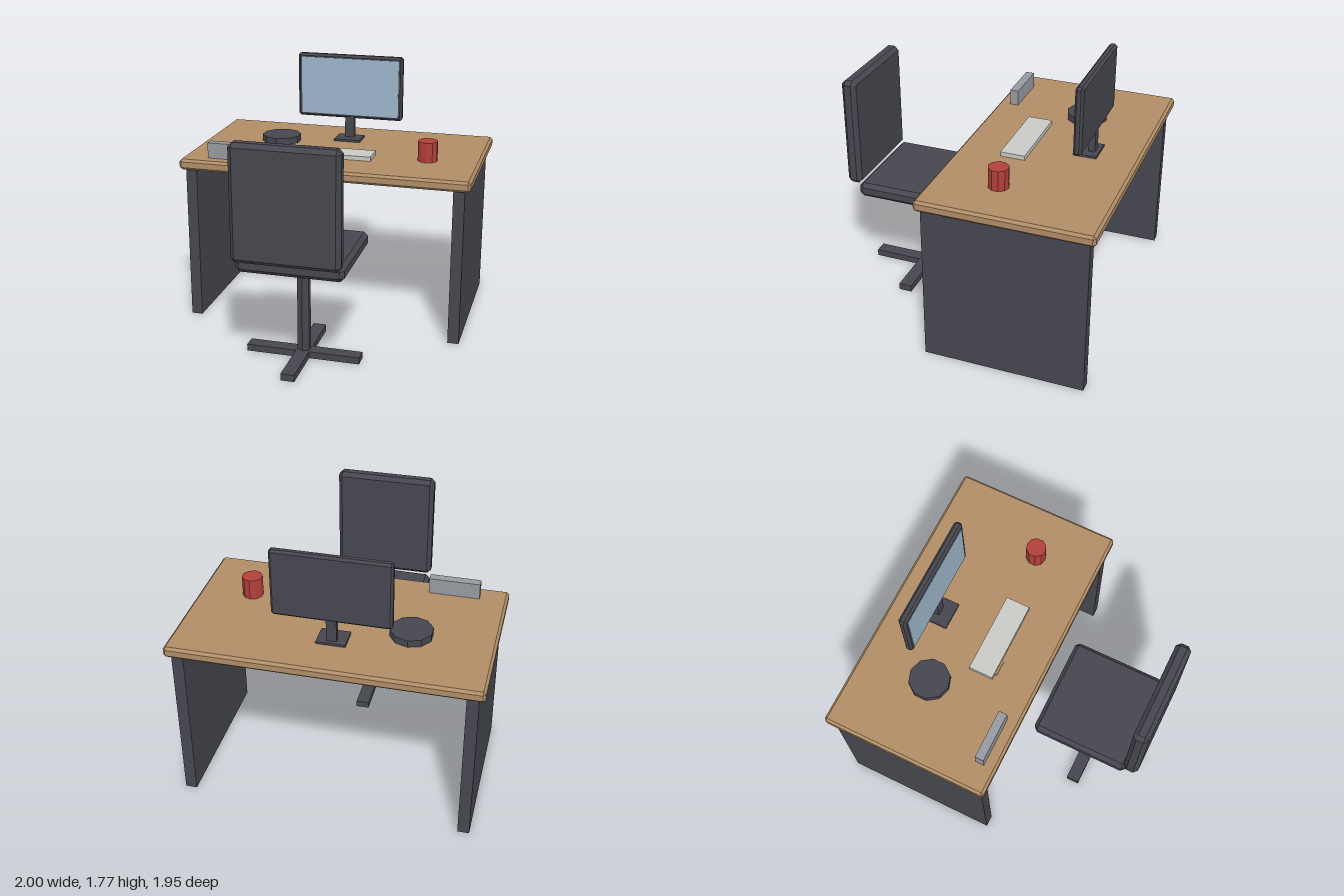
import * as THREE from 'three';
import { ConvexGeometry } from 'three/addons/geometries/ConvexGeometry.js';

function material(name, color) {
  const m = new THREE.MeshStandardMaterial({ color, flatShading: true });
  m.name = name;
  return m;
}

// Box spanning min..max with all twelve edges chamfered by c
function chamferBox(min, max, c) {
  const h = max.map((v, i) => (v - min[i]) / 2);
  const points = [];
  for (const sx of [-1, 1]) for (const sy of [-1, 1]) for (const sz of [-1, 1]) {
    for (let axis = 0; axis < 3; axis++) {
      const p = [sx, sy, sz].map((s, i) => s * (i === axis ? h[i] : h[i] - c));
      points.push(new THREE.Vector3(...p));
    }
  }
  return new ConvexGeometry(points);
}

export function createModel() {
  const wood = material('wood', 0xb08d66);
  const dark = material('dark grey', 0x46464f);
  const grey = material('mid grey', 0x969aa0);
  const pale = material('pale grey', 0xc9cac5);
  const blue = material('screen blue', 0x9cb6cb);
  const red = material('mug red', 0xb2403a);

  const model = new THREE.Group();
  model.name = 'workstation';

  const group = (name) => {
    const g = new THREE.Group();
    g.name = name;
    model.add(g);
    return g;
  };
  // Box given by its lowest and highest corners, optionally chamfered
  const box = (parent, name, mat, min, max, chamfer = 0) => {
    const geometry = chamfer
      ? chamferBox(min, max, chamfer)
      : new THREE.BoxGeometry(...max.map((v, i) => v - min[i]));
    const mesh = new THREE.Mesh(geometry, mat);
    mesh.name = name;
    mesh.position.set(...max.map((v, i) => (v + min[i]) / 2));
    parent.add(mesh);
  };
  // Upright prism between heights y0 and y1
  const prism = (parent, name, mat, x, z, r, y0, y1, sides) => {
    const mesh = new THREE.Mesh(new THREE.CylinderGeometry(r, r, y1 - y0, sides), mat);
    mesh.name = name;
    mesh.position.set(x, (y0 + y1) / 2, z);
    parent.add(mesh);
  };

  const top = 1.157;

  // Desk: chamfered top on two panel legs
  const desk = group('desk');
  box(desk, 'deskTop', wood, [-1, 1.083, -0.975], [1, top, 0.175], 0.017);
  for (const side of [-1, 1]) {
    const x = side * 0.923;
    box(desk, side < 0 ? 'rightLegPanel' : 'leftLegPanel', dark,
      [x - 0.038, 0, -0.935], [x + 0.038, 1.084, 0.14]);
  }

  // Monitor
  const monitor = group('monitor');
  box(monitor, 'monitorBase', dark, [-0.095, top, -0.71], [0.095, top + 0.015, -0.555]);
  box(monitor, 'monitorNeck', dark, [-0.033, top, -0.683], [0.033, 1.33, -0.638]);
  box(monitor, 'monitorCase', dark, [-0.383, 1.312, -0.69], [0.383, 1.77, -0.635], 0.015);
  box(monitor, 'screen', blue, [-0.355, 1.337, -0.638], [0.355, 1.745, -0.632]);

  // Things on the desk
  const items = group('deskItems');
  box(items, 'keyboard', pale, [-0.278, top, -0.287], [0.275, top + 0.03, -0.12]);
  box(items, 'keyboardTab', wood, [-0.24, top, -0.2], [-0.135, top + 0.008, -0.105]);
  box(items, 'deskBlock', grey, [-0.817, top, 0.033], [-0.48, 1.265, 0.092]);
  prism(items, 'roundPuck', dark, -0.465, -0.48, 0.138, top, 1.204, 10);
  prism(items, 'mug', red, 0.645, -0.25, 0.068, top, 1.295, 10);

  // Chair on a crossed base
  const chair = group('chair');
  const cz = 0.557;
  box(chair, 'seat', dark, [-0.35, 0.682, 0.215], [0.35, 0.785, 0.895], 0.028);
  box(chair, 'backrest', dark, [-0.35, 0.777, 0.875], [0.35, 1.54, 0.978], 0.028);
  prism(chair, 'seatPost', dark, 0, cz, 0.045, 0.02, 0.7, 6);
  box(chair, 'baseBarAcross', dark, [-0.383, 0, cz - 0.045], [0.383, 0.046, cz + 0.045]);
  box(chair, 'baseBarAlong', dark, [-0.045, 0, cz - 0.383], [0.045, 0.046, cz + 0.383]);

  return model;
}
